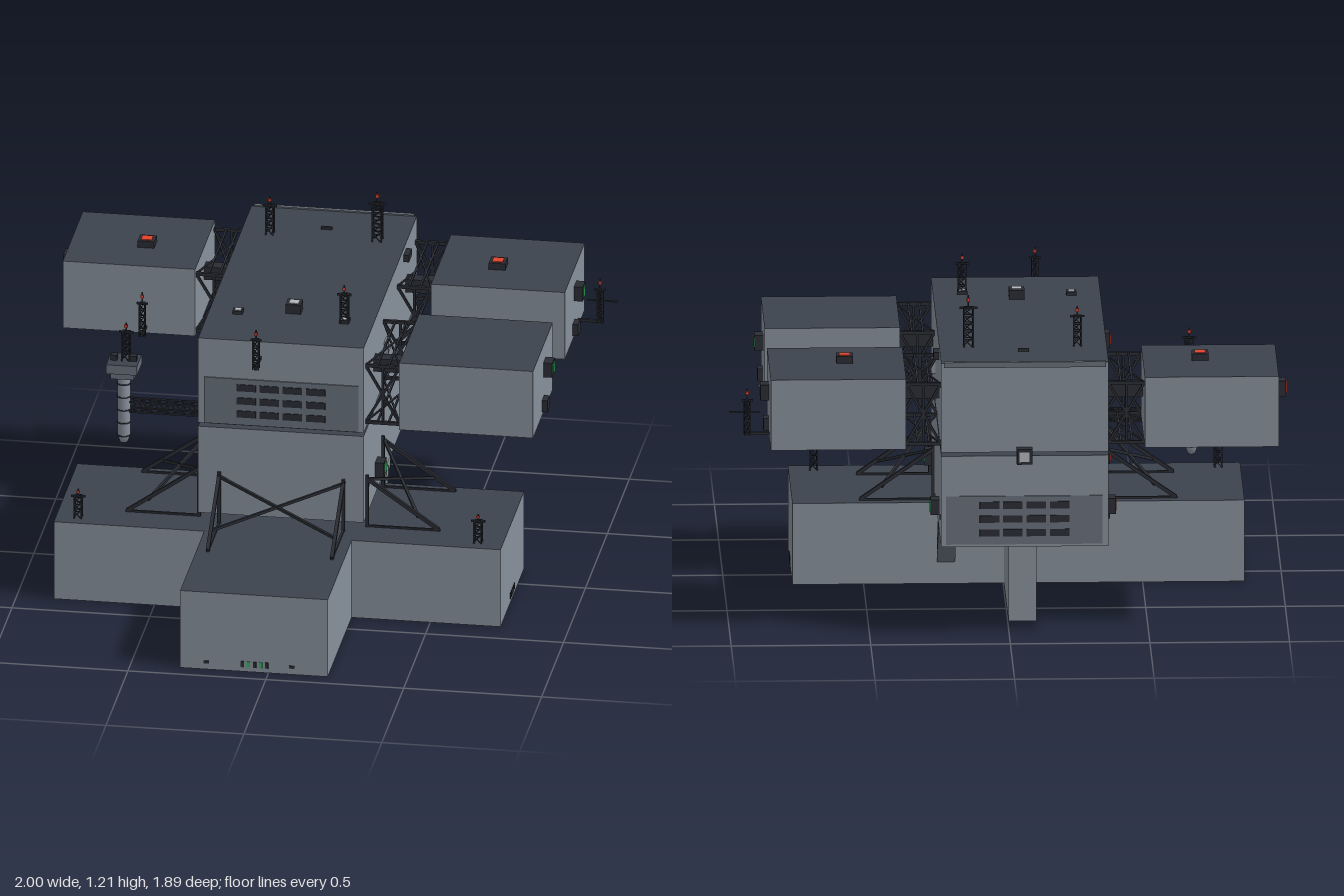
import * as THREE from 'three';

const mat = (name, color) => {
  const m = new THREE.MeshStandardMaterial({ color });
  m.name = name;
  return m;
};

export function createModel() {
  const root = new THREE.Group();
  root.name = 'seaPlatform';
  const wall = mat('wallGrey', 0x87909b);
  const deck = mat('deckDark', 0x3c434e);
  const panel = mat('panelGrey', 0x69717c);
  const steel = mat('steelDark', 0x2a2d34);
  const red = mat('lampRed', 0xe0442f);
  const green = mat('lampGreen', 0x2fb45a);
  const white = mat('lampWhite', 0xb4b8bc);
  const shell = [wall, wall, deck, deck, wall, wall];
  const C = -0.053; // symmetry plane of hull and base

  // Box given by its extents
  const box = (name, x0, x1, y0, y1, z0, z1, m, parent = root) => {
    const b = new THREE.Mesh(new THREE.BoxGeometry(x1 - x0, y1 - y0, z1 - z0), m);
    b.position.set((x0 + x1) / 2, (y0 + y1) / 2, (z0 + z1) / 2);
    b.name = name;
    parent.add(b);
    return b;
  };
  // Square bar between two points
  const bar = (name, a, b, t, parent = root, m = steel) => {
    const p = new THREE.Vector3(...a), q = new THREE.Vector3(...b);
    const s = new THREE.Mesh(new THREE.BoxGeometry(t, t, p.distanceTo(q)), m);
    s.position.copy(p).add(q).multiplyScalar(0.5);
    s.lookAt(q);
    s.name = name;
    parent.add(s);
  };
  const group = (name) => {
    const g = new THREE.Group();
    g.name = name;
    root.add(g);
    return g;
  };

  // Cross-shaped base, keel and neck
  box('baseCentre', -0.32, 0.215, 0, 0.3, -0.14, 0.94, shell);
  box('baseWingRight', -0.865, -0.32, 0, 0.3, -0.14, 0.395, shell);
  box('baseWingLeft', 0.215, 0.755, 0, 0.3, -0.14, 0.395, shell);
  box('keel', -0.103, -0.003, 0, 0.3, -0.68, -0.14, shell);
  box('neck', -0.275, 0.19, 0.3, 0.336, -0.64, 0.035, shell);

  // Two stacked hulls with spacer pads
  box('lowerHull', -0.355, 0.245, 0.335, 0.671, -0.905, 0.31, shell);
  box('upperHull', -0.355, 0.245, 0.685, 1.015, -0.905, 0.31, shell);
  for (const z of [-0.72, 0.15]) for (const x of [-0.3, C, 0.2])
    box('spacerPad', x - 0.03, x + 0.03, 0.67, 0.686, z - 0.04, z + 0.04, steel);
  box('rearTopRail', -0.345, 0.235, 1.0, 1.02, -0.915, -0.9, panel);

  // Window panels on the upper front and the lower back
  const windows = (y0, face, dir) => {
    const g = group('windowPanel');
    const plate = (n, x0, x1, ya, yb, d, m) =>
      box(n, x0, x1, ya, yb, face + Math.min(0, d * dir), face + Math.max(0, d * dir), m, g);
    plate('panelPlate', -0.333, 0.227, y0, y0 + 0.178, 0.005, panel);
    for (let r = 0; r < 3; r++) for (let c = 0; c < 4; c++) {
      const x = -0.215 + c * 0.084;
      plate('window', x, x + 0.07, y0 + 0.03 + r * 0.051, y0 + 0.056 + r * 0.051, 0.008, steel);
    }
  };
  windows(0.688, 0.31, 1);
  windows(0.345, -0.905, -1);

  // Pods and the trusses that carry them
  const truss = (xa, xb, z0, z1) => {
    const g = group('podTruss'), xm = (xa + xb) / 2, ys = [0.71, 0.93];
    for (const y of ys) {
      for (const z of [z0, z1]) bar('trussChord', [xa, y, z], [xb, y, z], 0.012, g);
      for (const d of [-0.02, 0.02]) bar('trussCross', [xm + d, y, z0], [xm + d, y, z1], 0.007, g);
      bar('trussDiagonal', [xa, y, z0], [xb, y, z1], 0.006, g);
      bar('trussDiagonal', [xa, y, z1], [xb, y, z0], 0.006, g);
    }
    for (const z of [z0, z1]) {
      bar('trussDiagonal', [xa, ys[0], z], [xb, ys[1], z], 0.009, g);
      bar('trussDiagonal', [xa, ys[1], z], [xb, ys[0], z], 0.009, g);
      bar('trussPost', [xm, ys[0], z], [xm, ys[1], z], 0.009, g);
    }
    const zc = (z0 + z1) / 2;
    box('trussDuct', xa, xb, 0.83, 0.88, zc - 0.025, zc + 0.025, steel, g);
  };
  box('podRearRight', -0.965, -0.485, 0.695, 0.955, -0.895, -0.44, shell);
  box('podRearLeft', 0.37, 0.855, 0.695, 0.955, -0.895, -0.44, shell);
  box('podFrontLeft', 0.37, 0.855, 0.695, 0.955, -0.165, 0.285, shell);
  truss(-0.485, -0.355, -0.87, -0.46);
  truss(0.245, 0.37, -0.87, -0.46);
  truss(0.245, 0.37, -0.14, 0.265);

  // Braces: two sloped legs with crossed diagonals, built facing +z then turned
  const brace = (x, z, turn, half) => {
    const g = group('hullBrace');
    g.position.set(x, 0, z);
    g.rotation.y = turn;
    for (const s of [-half, half]) {
      bar('braceLeg', [s, 0.49, 0], [s, 0.305, 0.265], 0.013, g);
      bar('braceFoot', [s, 0.303, 0], [s, 0.303, 0.27], 0.008, g);
      bar('bracePost', [s, 0.3, 0.005], [s, 0.5, 0.005], 0.012, g);
      bar('braceDiagonal', [s, 0.485, 0.01], [-s, 0.35, 0.19], 0.01, g);
    }
  };
  brace(C, 0.31, 0, 0.225);
  brace(0.245, 0.08, Math.PI / 2, 0.18);
  brace(-0.355, 0.08, -Math.PI / 2, 0.18);

  // Lamps: dark housing with a coloured lens on the outer face
  const lamp = (x, y, z, dir, m, s = 0.056, depth = 0.032) => {
    const g = group('lamp');
    g.position.set(x, y, z);
    g.quaternion.setFromUnitVectors(new THREE.Vector3(0, 0, 1), new THREE.Vector3(...dir));
    box('lampHousing', -s / 2, s / 2, -s / 2, s / 2, 0, depth, steel, g);
    box('lampLens', -s * 0.32, s * 0.32, -s * 0.32, s * 0.32, depth, depth + 0.003, m, g);
  };
  const L = [1, 0, 0], R = [-1, 0, 0], U = [0, 1, 0];
  for (const z of [0.02, -0.68]) {
    lamp(0.855, 0.86, z, L, green);
    lamp(0.245, 0.43, z, L, green);
    lamp(-0.355, 0.43, z, R, red);
    lamp(z > 0 ? -0.355 : -0.965, 0.86, z, R, red);
    box('podSensor', 0.855, 0.875, 0.71, 0.755, z + 0.01, z + 0.06, steel);
  }
  lamp(-0.69, 0.955, -0.635, U, red, 0.06, 0.025);
  lamp(0.583, 0.955, -0.635, U, red, 0.06, 0.025);
  lamp(C, 1.015, 0.015, U, white, 0.055, 0.035);
  lamp(-0.25, 1.015, 0.06, U, white, 0.036, 0.012);
  lamp(0.14, 1.015, 0.085, U, white, 0.036, 0.012);
  lamp(C, 0.675, -0.905, [0, 0, -1], white, 0.056, 0.035);

  // Wall boxes on the hull and marker lights low on the base
  box('sideHatch', 0.245, 0.26, 0.795, 0.84, -0.21, -0.16, wall);
  box('sideVent', 0.245, 0.265, 0.965, 0.992, -0.665, -0.6, steel);
  box('deckVent', -0.075, -0.035, 1.015, 1.025, -0.742, -0.732, steel);
  for (const x of [-0.235, 0.075]) box('baseSlot', x, x + 0.02, 0.024, 0.034, 0.94, 0.944, steel);
  for (let i = 0; i < 5; i++) {
    const x = -0.1 + i * 0.022;
    box('baseMarker', x, x + 0.012, 0.018, 0.04, 0.94, 0.944, i % 2 ? green : steel);
    box('baseMarkerLeft', 0.755, 0.758, 0.018, 0.04, x + 0.18, x + 0.192, steel);
    box('baseMarkerRight', -0.868, -0.865, 0.018, 0.04, x + 0.18, x + 0.192, steel);
  }
  for (const z of [0.22, -0.89]) for (const x of [0.247, -0.357])
    box('sidePort', x - 0.003, x + 0.003, 0.435, 0.45, z - 0.007, z + 0.007, steel);

  // Lattice masts with aerials
  const mast = (x, y, z, h, w = 0.026) => {
    const g = group('mast'), r = w / 2, n = Math.round(h / 0.035);
    g.position.set(x, y, z);
    const c = [[-r, -r], [r, -r], [r, r], [-r, r]];
    const top = h * 0.75;
    c.forEach(([a, b], i) => {
      const [d, e] = c[(i + 1) % 4];
      bar('mastPost', [a, 0, b], [a, top, b], 0.005, g);
      for (let k = 0; k < n; k++) {
        const ya = (top * k) / n, yb = (top * (k + 1)) / n;
        bar('mastRing', [a, yb, b], [d, yb, e], 0.004, g);
        bar('mastLace', [a, ya, b], [d, yb, e], 0.003, g);
      }
    });
    bar('mastArm', [-w, top, 0], [w, top, 0], 0.007, g);
    bar('mastAerial', [0, top, 0], [0, h, 0], 0.005, g);
    box('mastLight', -0.006, 0.006, h * 0.88, h * 0.94, -0.006, 0.006, red, g);
  };
  mast(-0.25, 1.015, -0.665, 0.145);
  mast(0.14, 1.015, -0.665, 0.19, 0.032);
  mast(0.14, 1.015, 0.09, 0.145);
  mast(-0.13, 0.95, 0.405, 0.15, 0.02);
  mast(0.935, 0.715, -0.745, 0.17, 0.02);
  mast(-0.665, 0.715, -0.365, 0.17, 0.02);
  mast(-0.785, 0.3, 0.34, 0.11);
  mast(0.665, 0.3, 0.34, 0.11);
  bar('mastBracket', [-0.13, 0.955, 0.31], [-0.13, 0.955, 0.42], 0.01);
  bar('mastBracket', [0.855, 0.72, -0.745], [0.94, 0.72, -0.745], 0.01);
  bar('mastYard', [0.89, 0.8, -0.745], [1, 0.8, -0.745], 0.005);
  bar('mastBracket', [-0.665, 0.72, -0.44], [-0.665, 0.72, -0.36], 0.01);

  // Hanging tower on a lattice arm
  const tx = -0.678, tz = -0.028;
  const profile = [[0, 0.44], [0.014, 0.448], [0.024, 0.475], [0.024, 0.715], [0, 0.715]]
    .map(([r, y]) => new THREE.Vector2(r, y));
  const tube = new THREE.Mesh(new THREE.LatheGeometry(profile, 12), wall);
  tube.position.set(tx, 0, tz);
  tube.name = 'towerTube';
  root.add(tube);
  for (let i = 0; i < 5; i++) {
    const ring = new THREE.Mesh(new THREE.CylinderGeometry(0.026, 0.026, 0.005, 12), steel);
    ring.position.set(tx, 0.475 + i * 0.05, tz);
    ring.name = 'towerRing';
    root.add(ring);
  }
  box('towerCollar', tx - 0.042, tx + 0.042, 0.705, 0.73, tz - 0.042, tz + 0.042, panel);
  box('towerPlatform', tx - 0.056, tx + 0.056, 0.73, 0.765, tz - 0.056, tz + 0.056, [panel, panel, deck, deck, panel, panel]);
  for (const s of [-0.035, 0.035]) box('towerBollard', tx + s - 0.012, tx + s + 0.012, 0.765, 0.785, tz - 0.012, tz + 0.012, steel);
  mast(tx + 0.008, 0.765, tz, 0.145, 0.026);
  const arm = group('towerArm'), ax = -0.655, step = 0.3 / 10;
  for (const y of [0.572, 0.61]) for (const z of [-0.047, -0.009]) bar('armChord', [ax, y, z], [-0.355, y, z], 0.006, arm);
  for (let i = 0; i < 10; i++) {
    const x0 = ax + i * step, x1 = x0 + step, up = i % 2;
    for (const z of [-0.047, -0.009]) bar('armLace', [x0, up ? 0.61 : 0.572, z], [x1, up ? 0.572 : 0.61, z], 0.005, arm);
    for (const y of [0.572, 0.61]) bar('armLace', [x0, y, up ? -0.009 : -0.047], [x1, y, up ? -0.047 : -0.009], 0.004, arm);
  }

  // Covered stair from the base up to the lower hull
  const side = new THREE.Shape([[0.14, 0.08], [0.4, 0.336], [0.31, 0.336], [0.14, 0.155]].map((p) => new THREE.Vector2(...p)));
  const stair = new THREE.Mesh(new THREE.ExtrudeGeometry(side, { depth: 0.065, bevelEnabled: false }), [wall, panel]);
  stair.rotation.y = Math.PI / 2; // profile runs towards the back
  stair.position.x = 0.172;
  stair.name = 'stair';
  root.add(stair);
  for (let i = 0; i < 8; i++) {
    const z = -0.165 - i * 0.028, y = 0.115 + i * 0.0265;
    bar('stairTread', [0.236, y, z - 0.006], [0.236, y + 0.045, z - 0.006], 0.004);
  }
  return root;
}
